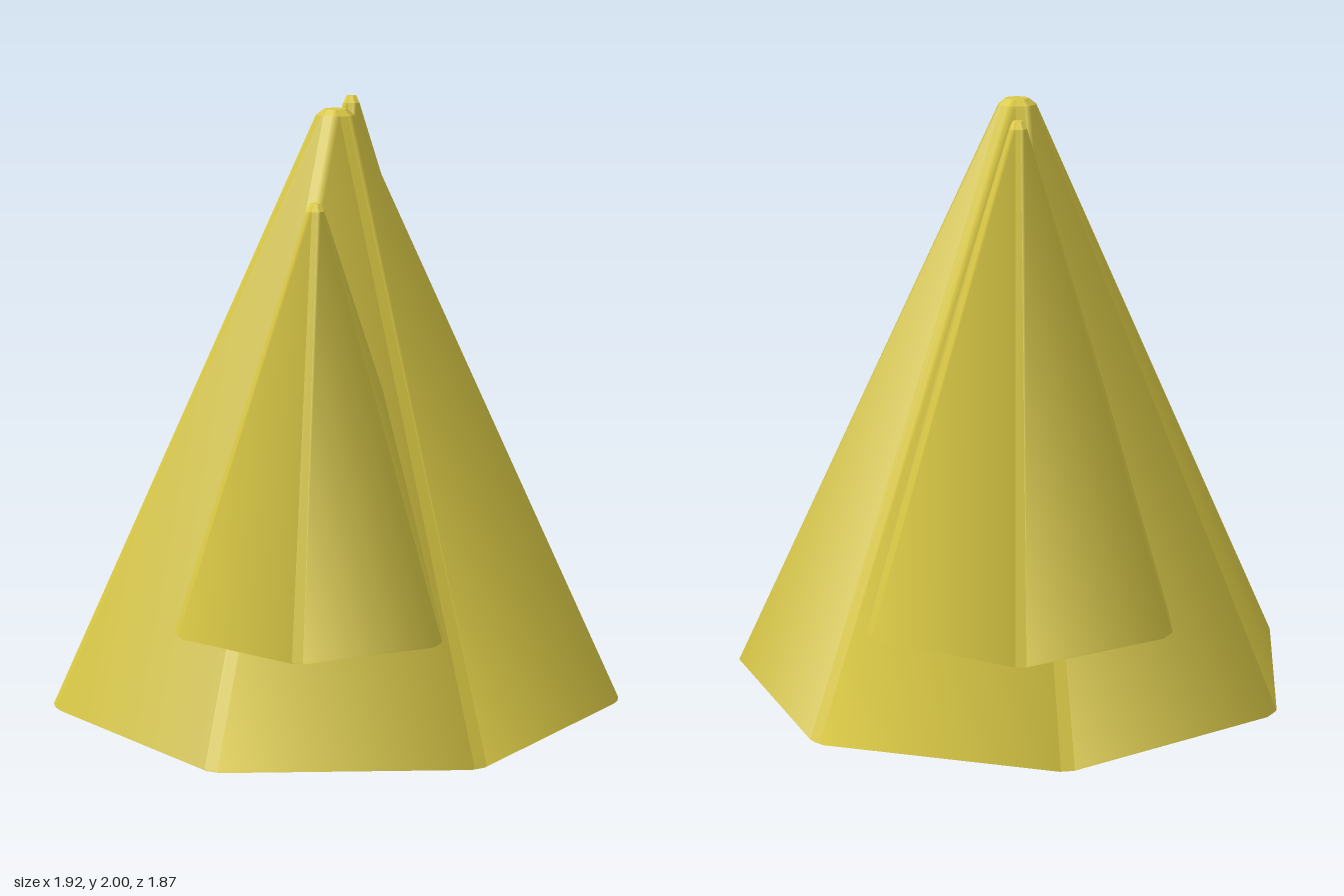
import * as THREE from 'three';

const straw = new THREE.MeshStandardMaterial({ color: 0xd9c845 });
straw.name = 'mustardYellow';

// Outline of a regular polygon with chamfered corners: [start, end] of each side
function chamferedSides(n, radius, chamfer) {
  const corner = (i) => {
    const a = Math.PI + (i * Math.PI * 2) / n;
    return new THREE.Vector2(Math.sin(a) * radius, Math.cos(a) * radius);
  };
  const t = Math.min(0.3, chamfer / (2 * radius * Math.sin(Math.PI / n)));
  return Array.from({ length: n }, (_, i) => {
    const a = corner(i), b = corner(i + 1);
    return [a.clone().lerp(b, t), b.clone().lerp(a, t)];
  });
}

// Closed, tapered spike with softly shaded faces and narrow bevels
function spikeGeometry({ sides, radius, tip, bottom, top, chamfer, lip }) {
  const profile = [
    [radius - 0.015, bottom],
    [radius, bottom + 0.012],
    [tip, top - lip],
    [tip * 0.6, top],
  ];
  const rings = profile.map(([r, y]) => ({ y, edges: chamferedSides(sides, r, chamfer) }));
  const positions = [], normals = [];
  const step = (Math.PI * 2) / sides;
  const slope = ((radius - tip) * Math.cos(step / 2)) / (top - bottom);

  const push = (p, y, n) => {
    positions.push(p.x, y, p.y);
    normals.push(n.x, n.y, n.z);
  };
  const sideNormal = (angle, rise) =>
    new THREE.Vector3(Math.sin(angle), rise, Math.cos(angle)).normalize();
  const quad = (lo, hi, a, b, c, d, na, nb) => {
    push(a, lo, na); push(b, lo, nb); push(c, hi, nb);
    push(a, lo, na); push(c, hi, nb); push(d, hi, na);
  };

  // Walls: broad faces shaded towards their neighbours, with a bevel between each pair
  for (let k = 0; k < rings.length - 1; k++) {
    const lo = rings[k], hi = rings[k + 1];
    const rise = k === 2 ? 1.2 : slope;
    for (let i = 0; i < sides; i++) {
      const j = (i + 1) % sides;
      const mid = Math.PI + (i + 0.5) * step;
      const [a, b] = lo.edges[i], [d, c] = hi.edges[i];
      quad(lo.y, hi.y, a, b, c, d, sideNormal(mid - step * 0.8, rise), sideNormal(mid + step * 0.8, rise));
      const edge = sideNormal(mid + step / 2, rise);
      quad(lo.y, hi.y, b, lo.edges[j][0], hi.edges[j][0], c, edge, edge);
    }
  }

  // Flat caps
  const centre = new THREE.Vector2();
  const up = new THREE.Vector3(0, 1, 0), down = new THREE.Vector3(0, -1, 0);
  const floor = rings[0], roof = rings[rings.length - 1];
  const floorPoints = floor.edges.flat(), roofPoints = roof.edges.flat();
  for (let i = 0; i < sides * 2; i++) {
    const j = (i + 1) % (sides * 2);
    push(centre, floor.y, down); push(floorPoints[j], floor.y, down); push(floorPoints[i], floor.y, down);
    push(centre, roof.y, up); push(roofPoints[i], roof.y, up); push(roofPoints[j], roof.y, up);
  }

  const geometry = new THREE.BufferGeometry();
  geometry.setAttribute('position', new THREE.Float32BufferAttribute(positions, 3));
  geometry.setAttribute('normal', new THREE.Float32BufferAttribute(normals, 3));
  return geometry;
}

export function createModel() {
  const group = new THREE.Group();
  group.name = 'spikeCluster';

  const addSpike = (name, x, z, options) => {
    const mesh = new THREE.Mesh(spikeGeometry(options), straw);
    mesh.name = name;
    mesh.position.set(x, 0, z);
    group.add(mesh);
  };

  // Seven-sided main spike standing on the ground
  addSpike('mainSpike', 0, 0.045,
    { sides: 7, radius: 0.99, tip: 0.07, bottom: 0, top: 2, chamfer: 0.025, lip: 0.02 });
  // Six-sided side spikes growing out of the main one
  addSpike('leftSpike', 0.43, -0.2,
    { sides: 6, radius: 0.565, tip: 0.032, bottom: 0.38, top: 2, chamfer: 0.02, lip: 0.025 });
  addSpike('rightSpike', -0.44, 0.29,
    { sides: 6, radius: 0.495, tip: 0.032, bottom: 0.38, top: 1.75, chamfer: 0.02, lip: 0.025 });

  return group;
}
